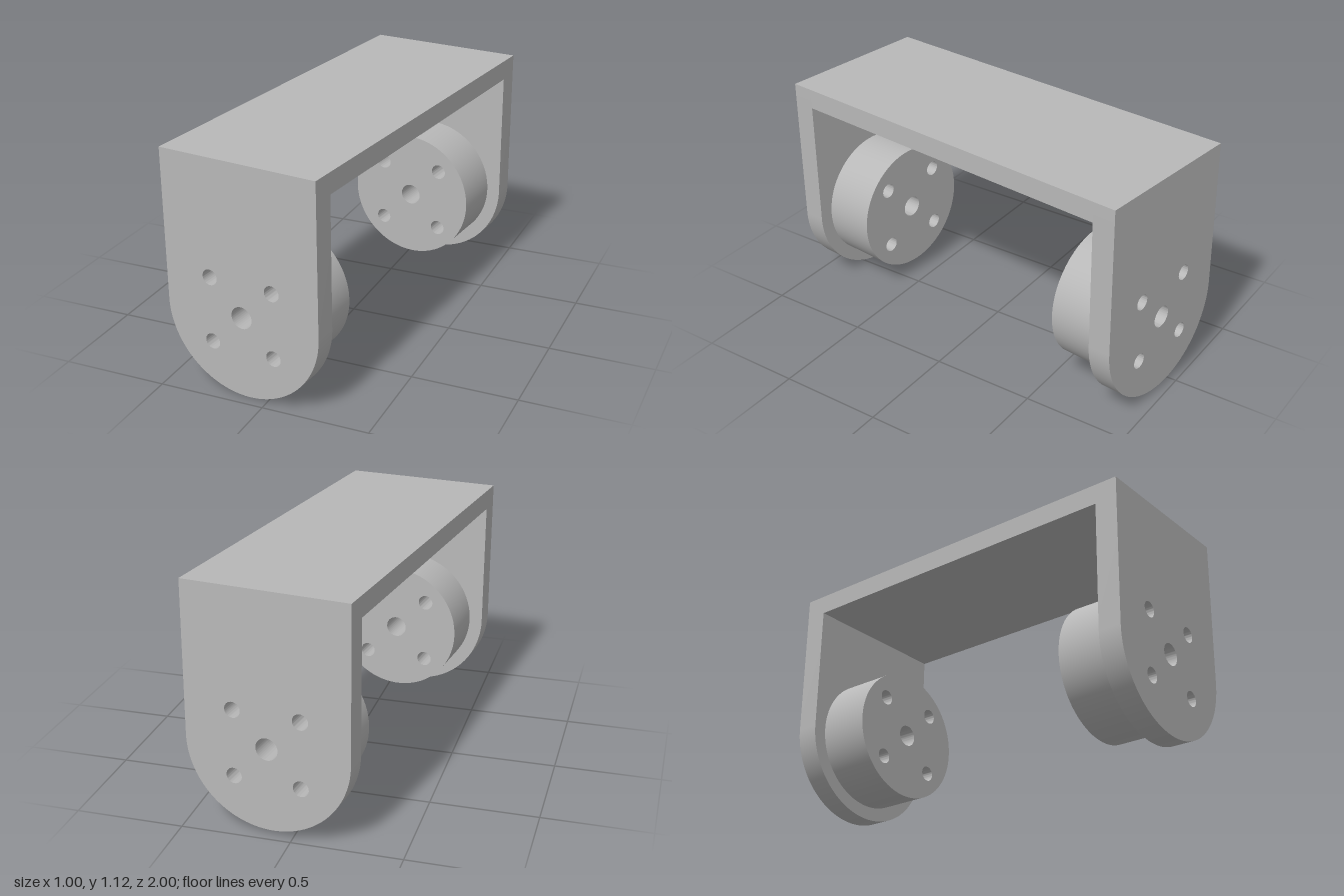
import * as THREE from 'three';
import { toCreasedNormals } from 'three/addons/utils/BufferGeometryUtils.js';

const HALF_W = 0.387, HALF_L = 0.957, HEIGHT = 1.1;
const LEG_T = 0.11, TOP_T = 0.097;
const HUB_R = 0.32, HUB_D = 0.257;

// One centre bore and four bolt holes around the hub axis
function addHoles(shape) {
  const hole = (x, y, r) => {
    const path = new THREE.Path();
    path.absarc(x, y, r, 0, Math.PI * 2, true);
    shape.holes.push(path);
  };
  hole(0, HALF_W, 0.052);
  for (const sx of [-1, 1]) for (const sy of [-1, 1]) hole(sx * 0.158, HALF_W + sy * 0.156, 0.037);
  return shape;
}

function extrude(shape, depth) {
  const geometry = new THREE.ExtrudeGeometry(shape, { depth, bevelEnabled: false, curveSegments: 40 });
  return toCreasedNormals(geometry, 0.5);
}

export function createModel() {
  const model = new THREE.Group();
  model.name = 'hubBracket';
  const grey = new THREE.MeshStandardMaterial({ color: 0xb8b8b8 });
  grey.name = 'plain grey';

  const add = (name, geometry, z, y = 0) => {
    const mesh = new THREE.Mesh(geometry, grey);
    mesh.name = name;
    mesh.position.set(0, y, z);
    model.add(mesh);
  };

  // Top plate spanning the two legs
  add('topPlate', new THREE.BoxGeometry(HALF_W * 2, TOP_T, (HALF_L - LEG_T) * 2), 0, HEIGHT - TOP_T / 2);

  // Leg outline: straight sides with a half-round foot
  const leg = new THREE.Shape();
  leg.moveTo(HALF_W, HEIGHT);
  leg.lineTo(-HALF_W, HEIGHT);
  leg.lineTo(-HALF_W, HALF_W);
  leg.absarc(0, HALF_W, HALF_W, Math.PI, Math.PI * 2, false);
  leg.closePath();
  const legGeometry = extrude(addHoles(leg), LEG_T);
  add('frontLeg', legGeometry, HALF_L - LEG_T);
  add('backLeg', legGeometry, -HALF_L);

  // Round hubs on the inner faces, bored right through
  const hub = new THREE.Shape();
  hub.absarc(0, HALF_W, HUB_R, 0, Math.PI * 2, false);
  const hubGeometry = extrude(addHoles(hub), HUB_D);
  add('frontHub', hubGeometry, HALF_L - LEG_T - HUB_D);
  add('backHub', hubGeometry, -HALF_L + LEG_T);

  // The whole bracket sits slightly turned and pitched
  model.rotation.set(0.0115, -0.119, 0, 'YXZ');
  model.position.set(0, 0.011, -0.0085);

  const root = new THREE.Group();
  root.name = 'bracketAssembly';
  root.add(model);
  return root;
}
